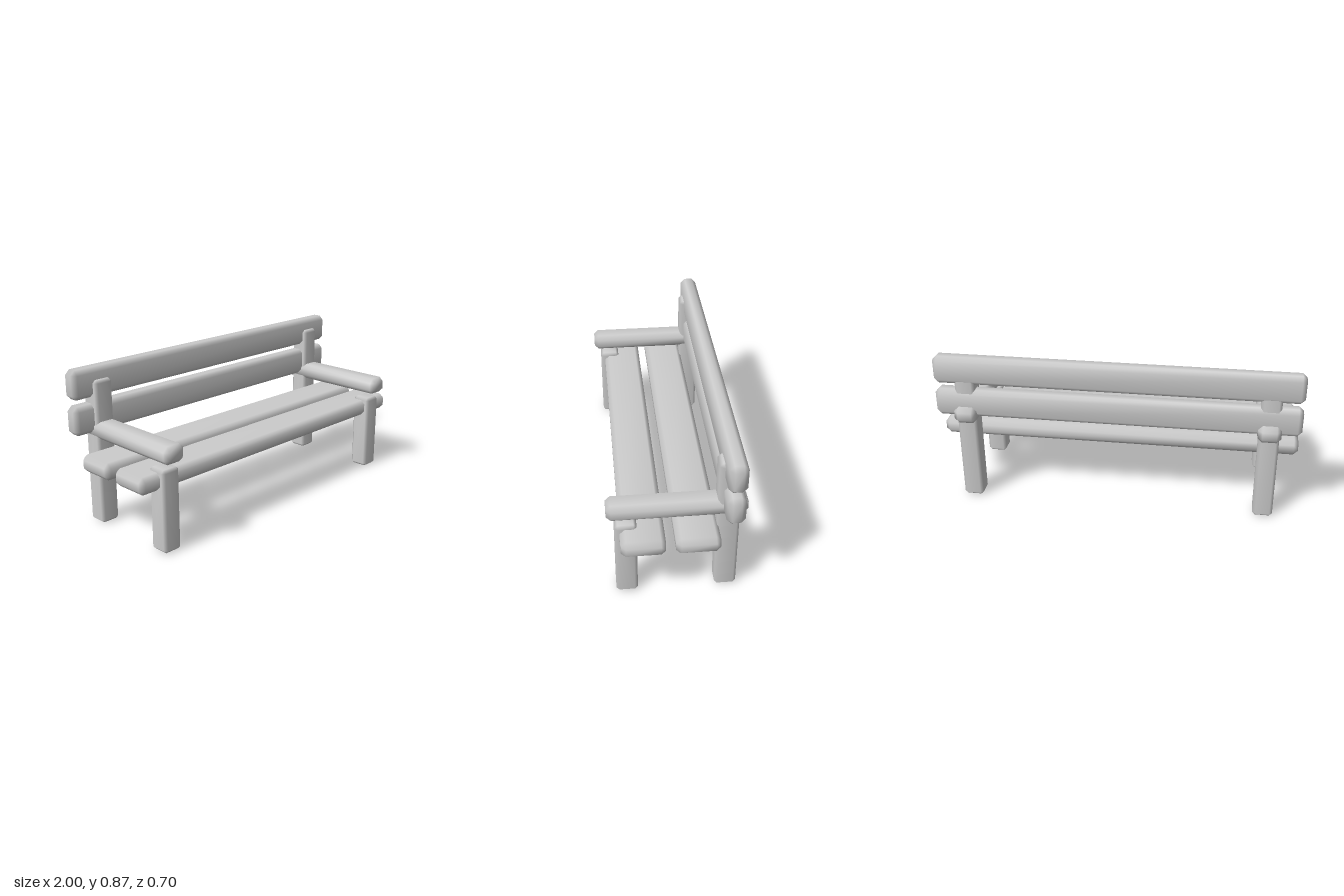
import * as THREE from 'three';
import { ConvexGeometry } from 'three/addons/geometries/ConvexGeometry.js';
import { mergeVertices } from 'three/addons/utils/BufferGeometryUtils.js';

// Box with every edge chamfered by b, shaded smoothly across the chamfers
function chamferBox(w, h, d, b) {
  const half = [w / 2, h / 2, d / 2];
  const points = [];
  for (const sx of [-1, 1]) for (const sy of [-1, 1]) for (const sz of [-1, 1]) {
    for (let axis = 0; axis < 3; axis++) {
      const p = half.map((v, i) => (i === axis ? v : v - b));
      points.push(new THREE.Vector3(p[0] * sx, p[1] * sy, p[2] * sz));
    }
  }
  let geometry = new ConvexGeometry(points);
  geometry.deleteAttribute('normal');
  geometry = mergeVertices(geometry, 1e-5);
  geometry.computeVertexNormals();
  return geometry;
}

export function createModel() {
  const bench = new THREE.Group();
  bench.name = 'bench';
  const wood = new THREE.MeshStandardMaterial({ color: 0xcccccc });
  wood.name = 'pale grey';

  // Adds a beam spanning the given [min, max] ranges
  function beam(name, [x0, x1], [y0, y1], [z0, z1], bevel) {
    const mesh = new THREE.Mesh(chamferBox(x1 - x0, y1 - y0, z1 - z0, bevel), wood);
    mesh.position.set((x0 + x1) / 2, (y0 + y1) / 2, (z0 + z1) / 2);
    mesh.name = name;
    bench.add(mesh);
  }

  // Long planks of the seat and backrest
  const span = [-1, 1];
  beam('frontSeatPlank', span, [0.338, 0.432], [0.065, 0.288], 0.025);
  beam('rearSeatPlank', span, [0.338, 0.432], [-0.207, 0.016], 0.025);
  beam('lowerBackPlank', span, [0.515, 0.672], [-0.319, -0.225], 0.025);
  beam('upperBackPlank', span, [0.707, 0.865], [-0.319, -0.225], 0.025);

  // Legs and armrest on each side
  for (const [side, s] of [['left', 1], ['right', -1]]) {
    const x = 0.83 * s;
    const post = [x - 0.055, x + 0.055];
    beam(side + 'FrontLeg', post, [0, 0.448], [0.201, 0.313], 0.016);
    beam(side + 'BackPost', post, [0, 0.8], [-0.312, -0.2], 0.016);
    beam(side + 'Armrest', [x - 0.063, x + 0.063], [0.483, 0.577], [-0.352, 0.352], 0.025);
  }
  return bench;
}
